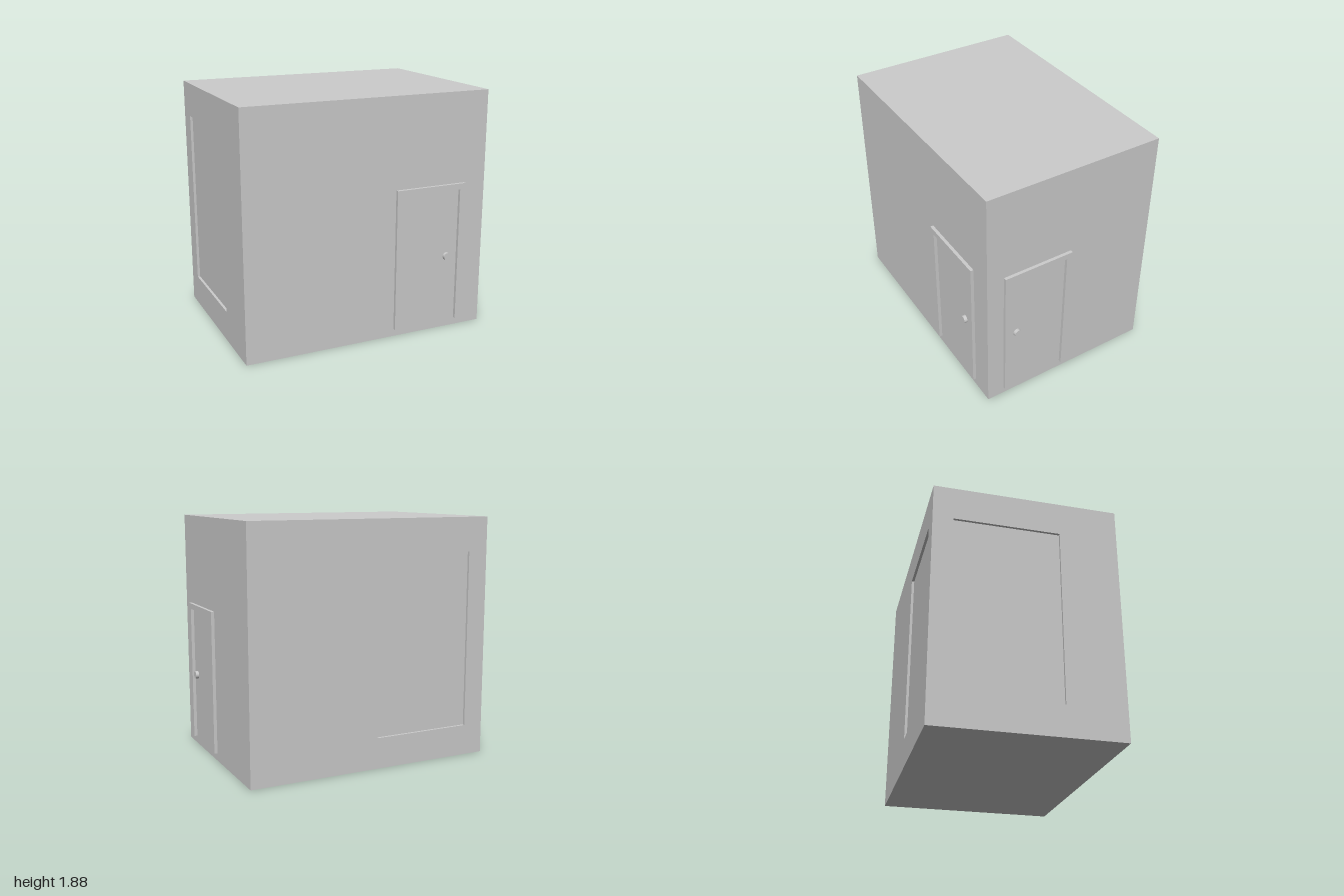
import * as THREE from 'three';

const material = new THREE.MeshStandardMaterial({ color: 0xcccccc });

// Body limits, and the depth of the window recesses and door frames
const X0 = -1, X1 = 0.974, Z0 = -0.72, Z1 = 0.695, HEIGHT = 1.88;
const RECESS = 0.02, TRIM = 0.025;

function add(parent, geometry, name, x = 0, y = 0, z = 0) {
  const mesh = new THREE.Mesh(geometry, material);
  mesh.name = name;
  mesh.position.set(x, y, z);
  parent.add(mesh);
  return mesh;
}

function polygon(points, Type = THREE.Shape) {
  return new Type(points.map(([x, y]) => new THREE.Vector2(x, y)));
}

const rect = (x0, x1, y0, y1) => [[x0, y0], [x1, y0], [x1, y1], [x0, y1]];

const extrude = (shape, depth) =>
  new THREE.ExtrudeGeometry(shape, { depth, bevelEnabled: false });

// Outer wall layer with a window opening; the core behind it is the pane
function windowWall(x0, x1, windowX0, windowX1) {
  const shape = polygon(rect(x0, x1, 0, HEIGHT));
  shape.holes.push(polygon(rect(windowX0, windowX1, 0.24, 1.615).reverse(), THREE.Path));
  return extrude(shape, RECESS);
}

// Raised door frame, open at the bottom, with a round knob
function door(name, halfWidth, knobX) {
  const group = new THREE.Group();
  group.name = name;
  const w = halfWidth, i = halfWidth - 0.047;
  const frame = polygon([
    [-w, 0.06], [-i, 0.06], [-i, 1.13], [i, 1.13],
    [i, 0.06], [w, 0.06], [w, 1.175], [-w, 1.175],
  ]);
  add(group, extrude(frame, TRIM), 'doorFrame');
  const knob = new THREE.CylinderGeometry(0.03, 0.03, TRIM, 24).rotateX(Math.PI / 2);
  add(group, knob, 'doorKnob', knobX, 0.595, TRIM / 2);
  return group;
}

export function createModel() {
  const model = new THREE.Group();
  model.name = 'building';

  // Solid core, set in behind the two window walls
  const coreX0 = X0 + RECESS, coreZ0 = Z0 + RECESS;
  add(model, new THREE.BoxGeometry(X1 - coreX0, HEIGHT, Z1 - coreZ0), 'core',
    (X1 + coreX0) / 2, HEIGHT / 2, (Z1 + coreZ0) / 2);

  // Back and left walls with recessed windows
  const back = add(model, windowWall(-X1, -X0, 0.05, 0.84), 'backWall', 0, 0, coreZ0);
  back.rotation.y = Math.PI;
  const left = add(model, windowWall(coreZ0, Z1, -0.565, 0.243), 'leftWall', coreX0, 0, 0);
  left.rotation.y = -Math.PI / 2;

  // Doors on the front and the +x side
  const frontDoor = door('frontDoor', 0.295, 0.158);
  frontDoor.position.set(0.497, 0, Z1);
  const sideDoor = door('sideDoor', 0.283, -0.168);
  sideDoor.position.set(X1, 0, 0.277);
  sideDoor.rotation.y = Math.PI / 2;
  model.add(frontDoor, sideDoor);

  return model;
}
